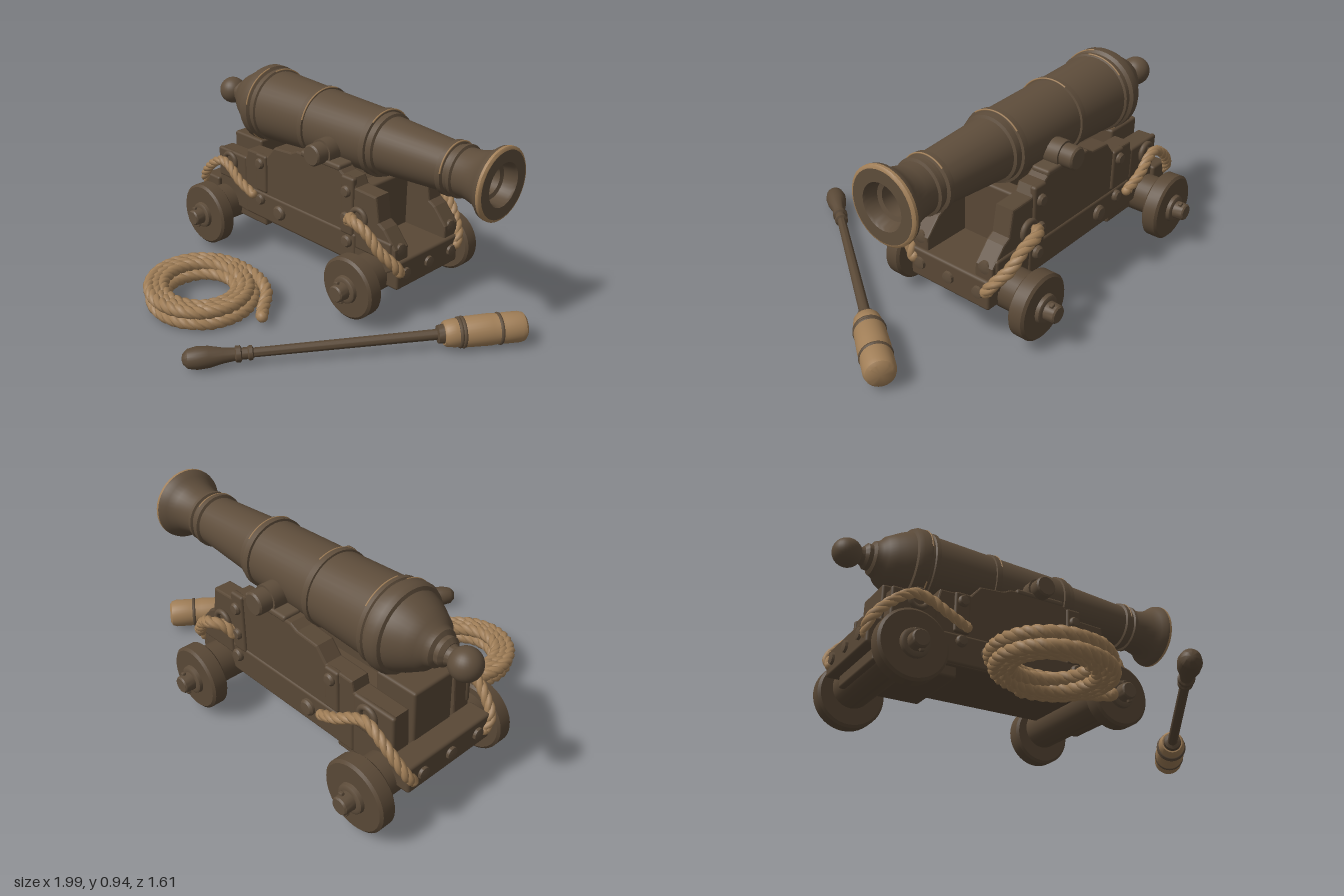
import * as THREE from 'three';
import { toCreasedNormals } from 'three/addons/utils/BufferGeometryUtils.js';
import { RoundedBoxGeometry } from 'three/addons/geometries/RoundedBoxGeometry.js';

export function createModel() {
  const mat = (name, color) => Object.assign(new THREE.MeshStandardMaterial({ color }), { name });
  const iron = mat('dark iron', 0x5e4d3b);
  const wood = mat('dark wood', 0x594836);
  const hemp = mat('hemp', 0xa07e57);
  const model = new THREE.Group();
  model.name = 'cannonSet';

  const add = (parent, name, geo, material, x = 0, y = 0, z = 0) => {
    const m = new THREE.Mesh(geo, material);
    m.name = name;
    m.position.set(x, y, z);
    parent.add(m);
    return m;
  };
  const box = (parent, name, x0, x1, y0, y1, z0, z1, material = wood) =>
    add(parent, name, new RoundedBoxGeometry(x1 - x0, y1 - y0, z1 - z0, 2, 0.012), material,
      (x0 + x1) / 2, (y0 + y1) / 2, (z0 + z1) / 2);
  // profile of [position along axis, radius], turned around the y axis
  const lathe = (pts, seg = 40) => toCreasedNormals(
    new THREE.LatheGeometry(pts.map(([a, r]) => new THREE.Vector2(r, a)), seg), 0.6);
  const turnedX = (pts) => lathe(pts).rotateZ(-Math.PI / 2);
  const turnedZ = (pts, seg) => lathe(pts, seg).rotateX(Math.PI / 2);

  // rope laid from three twisted strands
  const rope = (parent, name, points, r) => {
    const path = new THREE.CatmullRomCurve3(points.map((p) => new THREE.Vector3(...p)));
    path.arcLengthDivisions = 1200;
    const n = Math.ceil(path.getLength() / 0.016);
    const f = path.computeFrenetFrames(n);
    const group = new THREE.Group();
    group.name = name;
    for (let k = 0; k < 3; k++) {
      const strand = [];
      for (let i = 0; i <= n; i++) {
        const a = i * 0.75 + k * Math.PI * 2 / 3;
        strand.push(path.getPointAt(i / n)
          .addScaledVector(f.normals[i], Math.cos(a) * r * 0.4)
          .addScaledVector(f.binormals[i], Math.sin(a) * r * 0.4));
      }
      const curve = new THREE.CatmullRomCurve3(strand);
      curve.arcLengthDivisions = n * 3;
      add(group, 'strand', new THREE.TubeGeometry(curve, Math.ceil(n * 1.5), r * 0.62, 7), hemp);
    }
    for (const t of [0, 1]) add(group, 'ropeEnd', new THREE.SphereGeometry(r * 0.9, 12, 8), hemp).position.copy(path.getPointAt(t));
    parent.add(group);
  };

  // ---- gun and carriage, centred on their own z = 0 ----
  const gun = new THREE.Group();
  gun.name = 'gun';
  gun.position.z = -0.345;
  model.add(gun);

  const axisY = 0.747;
  add(gun, 'barrel', turnedX([
    [-0.86, 0], [-0.86, 0.045], [-0.845, 0.062], [-0.825, 0.062], [-0.815, 0.08], [-0.79, 0.09], [-0.77, 0.115],
    [-0.735, 0.135], [-0.7, 0.155], [-0.66, 0.17], [-0.655, 0.185], [-0.635, 0.195], [-0.595, 0.195],
    [-0.585, 0.18], [-0.575, 0.18], [-0.57, 0.188], [-0.55, 0.188], [-0.545, 0.178],
    [-0.25, 0.166], [-0.248, 0.174], [-0.22, 0.174], [-0.218, 0.164],
    [0.14, 0.152], [0.142, 0.162], [0.172, 0.162], [0.175, 0.15], [0.205, 0.149], [0.21, 0.136],
    [0.55, 0.114], [0.555, 0.126], [0.58, 0.126], [0.585, 0.112], [0.605, 0.111], [0.61, 0.121],
    [0.625, 0.121], [0.63, 0.109], [0.68, 0.112], [0.73, 0.125], [0.765, 0.145], [0.785, 0.163], [0.8, 0.167],
  ]), iron, 0, axisY);
  add(gun, 'muzzleLip', turnedX([[0.8, 0.167], [0.812, 0.167], [0.819, 0.159], [0.82, 0.153]]), hemp, 0, axisY);
  add(gun, 'bore', turnedX([
    [0.82, 0.153], [0.82, 0.1], [0.81, 0.093], [0.76, 0.085], [0.755, 0.065], [0.45, 0.06], [0.45, 0],
  ]), iron, 0, axisY);
  add(gun, 'breechKnob', new THREE.SphereGeometry(0.069, 28, 20), iron, -0.931, 0.74);
  add(gun, 'knobNeck', turnedX([[-0.9, 0.042], [-0.87, 0.04], [-0.85, 0.05]]), iron, 0, 0.744);

  // worn edges on the barrel rings: [x, radius, start angle, length]
  for (const [x, r, start, length] of [[-0.595, 0.193, 0.2, 1.2], [-0.55, 0.186, 1.4, 1], [-0.22, 0.172, 0.3, 1.7],
    [0.172, 0.16, 0.9, 1.5], [0.58, 0.124, 0.1, 2.2], [-0.597, 0.193, -2.2, 1.5]]) {
    const g = new THREE.TorusGeometry(r, 0.004, 6, 24, length).rotateZ(start).rotateY(-Math.PI / 2);
    add(gun, 'wornEdge', g, hemp, x, axisY);
  }

  // trunnions
  add(gun, 'trunnions', turnedZ([[-0.28, 0], [-0.28, 0.045], [-0.272, 0.052], [0.272, 0.052], [0.28, 0.045], [0.28, 0]], 28),
    iron, -0.04, 0.7);

  // carriage floor, transom, quoin and end beams
  box(gun, 'floor', -0.8, 0.36, 0.215, 0.31, -0.2, 0.2);
  box(gun, 'transom', 0.12, 0.2, 0.29, 0.58, -0.14, 0.14);
  box(gun, 'quoin', -0.79, -0.58, 0.3, 0.575, -0.11, 0.11);
  box(gun, 'frontBeam', 0.32, 0.455, 0.17, 0.31, -0.215, 0.215);
  box(gun, 'rearBeam', -0.89, -0.78, 0.22, 0.345, -0.24, 0.24);
  box(gun, 'rearAxleBlock', -0.84, -0.45, 0.165, 0.3, -0.2, 0.2);
  for (const z of [-0.16, 0, 0.16]) {
    add(gun, 'beamBolt', turnedX([[0, 0.028], [0.012, 0.026], [0.018, 0]]), iron, 0.455, 0.245, z);
    add(gun, 'beamBolt', turnedX([[-0.018, 0], [-0.012, 0.026], [0, 0.028]]), iron, -0.89, 0.285, z);
  }

  // stepped cheek outline
  const outline = [
    [-0.79, 0.24], [-0.58, 0.215], [0.36, 0.215], [0.44, 0.27], [0.44, 0.37], [0.37, 0.45], [0.335, 0.47], [0.315, 0.59],
    [0.19, 0.595], [0.17, 0.635], [0.11, 0.64], [0.08, 0.66], [-0.2, 0.66], [-0.24, 0.64], [-0.36, 0.63],
    [-0.41, 0.57], [-0.56, 0.565], [-0.57, 0.52], [-0.78, 0.515],
  ];
  const cheekShape = new THREE.Shape(outline.map(([x, y]) => new THREE.Vector2(x, y)));
  const cheekGeo = new THREE.ExtrudeGeometry(cheekShape,
    { depth: 0.075, bevelThickness: 0.008, bevelSize: 0.008, bevelOffset: -0.008, bevelSegments: 2 });

  for (const s of [1, -1]) {
    const side = s > 0 ? 'left' : 'right';
    const sideBox = (name, x0, x1, y0, y1, z0, z1, m) =>
      box(gun, name, x0, x1, y0, y1, Math.min(s * z0, s * z1), Math.max(s * z0, s * z1), m);
    add(gun, side + 'Cheek', cheekGeo, wood, 0, 0, s > 0 ? 0.138 : -0.213);
    sideBox(side + 'LowerPlank', -0.57, 0.2, 0.22, 0.365, 0.2, 0.228);
    sideBox(side + 'RearStrap', -0.49, -0.41, 0.37, 0.57, 0.2, 0.232);
    sideBox(side + 'FrontStrap', 0.105, 0.185, 0.35, 0.64, 0.2, 0.232);
    sideBox(side + 'RearPlank', -0.79, -0.57, 0.36, 0.52, 0.2, 0.225);
    sideBox(side + 'CheekFoot', 0.2, 0.42, 0.3, 0.4, 0.2, 0.23);

    // cap strap over the trunnion
    sideBox(side + 'CapPlate', -0.17, 0.09, 0.645, 0.675, 0.135, 0.225, iron);
    add(gun, side + 'TrunnionCap', turnedZ([[-0.035, 0.052], [-0.035, 0.062], [0.035, 0.062], [0.035, 0.052]], 28),
      iron, -0.04, 0.7, s * 0.18);

    // bolts on the side and on the cheek front
    for (const [x, y, r] of [[-0.45, 0.525, 0.028], [-0.45, 0.33, 0.028], [-0.31, 0.3, 0.038],
      [0.155, 0.32, 0.03], [0.145, 0.57, 0.028], [0.145, 0.44, 0.026]]) {
      const g = turnedZ([[-0.02, r], [0.01, r], [0.02, r * 0.75], [0.022, 0]], 16);
      if (s < 0) g.rotateY(Math.PI);
      add(gun, side + 'Bolt', g, iron, x, y, s * 0.23);
    }
    add(gun, side + 'FrontBolt', turnedX([[-0.03, 0.03], [0.01, 0.028], [0.018, 0]]), iron, 0.43, 0.36, s * 0.175);

    // wheels with hubs and axle ends
    for (const [name, x, y, r] of [['FrontWheel', 0.3, 0.185, 0.15], ['RearWheel', -0.735, 0.195, 0.16]]) {
      const wheel = new THREE.Group();
      wheel.name = side + name;
      wheel.position.set(x, y, s * 0.345);
      if (s < 0) wheel.rotation.y = Math.PI;
      gun.add(wheel);
      add(wheel, 'disc', turnedZ([[-0.04, 0], [-0.04, r - 0.012], [-0.03, r], [0.03, r], [0.04, r - 0.012], [0.04, 0]]), wood);
      add(wheel, 'hub', turnedZ([[0.035, 0.068], [0.055, 0.064], [0.06, 0.056], [0.06, 0.042], [0.105, 0.04], [0.112, 0.034], [0.112, 0]], 24), iron);
      add(wheel, 'linchpin', new RoundedBoxGeometry(0.022, 0.105, 0.018, 1, 0.005), iron, 0, 0, 0.085).rotation.z = 0.3;
    }

    // rope eyes and lashings
    for (const [x, y] of [[-0.67, 0.475], [0.235, 0.47]]) {
      add(gun, side + 'EyeRing', new THREE.TorusGeometry(0.042, 0.013, 10, 24), iron, x, y, s * 0.245);
    }
    rope(gun, side + 'RearLashing', [[-0.885, 0.27, s * 0.21], [-0.885, 0.32, s * 0.245], [-0.8, 0.42, s * 0.272],
      [-0.7, 0.48, s * 0.275], [-0.63, 0.465, s * 0.28], [-0.55, 0.42, s * 0.29], [-0.45, 0.375, s * 0.285]], 0.025);
    rope(gun, side + 'FrontLashing', [[0.17, 0.43, s * 0.24], [0.2, 0.465, s * 0.26], [0.25, 0.475, s * 0.295],
      [0.32, 0.44, s * 0.285], [0.39, 0.36, s * 0.265], [0.445, 0.3, s * 0.225], [0.455, 0.26, s * 0.2]], 0.028);
  }

  // axles
  add(gun, 'frontAxle', turnedZ([[-0.31, 0], [-0.31, 0.095], [0.31, 0.095], [0.31, 0]], 28), wood, 0.3, 0.21);
  add(gun, 'rearAxle', turnedZ([[-0.31, 0], [-0.31, 0.095], [0.31, 0.095], [0.31, 0]], 28), wood, -0.735, 0.22);

  // ---- coiled rope: lower layer winds inwards, upper layer back out to the loose end ----
  const coil = [];
  const turns = 6, steps = 16;
  for (let i = 0; i <= turns * steps; i++) {
    const t = i / steps, a = -Math.PI / 2 + t * Math.PI * 2;
    const upper = THREE.MathUtils.smoothstep(t, 2.7, 3.3);
    const rad = t < 3 ? 0.252 - 0.03 * t : 0.162 + 0.03 * (t - 3);
    const tilt = -0.012 * Math.cos(a);
    coil.push([-0.3 + rad * Math.cos(a), 0.045 + tilt + upper * 0.052, 0.4 + rad * Math.sin(a)]);
  }
  coil.push([-0.16, 0.09, 0.155], [-0.06, 0.075, 0.2], [0.0, 0.05, 0.275], [0.045, 0.045, 0.32]);
  rope(model, 'ropeCoil', coil, 0.031);

  // ---- swab leaning along the ground ----
  const swab = new THREE.Group();
  swab.name = 'swab';
  const from = new THREE.Vector3(0.1, 0.054, 0.76), to = new THREE.Vector3(0.945, 0.083, -0.43);
  swab.position.copy(from);
  swab.quaternion.setFromUnitVectors(new THREE.Vector3(0, 1, 0), to.clone().sub(from).normalize());
  model.add(swab);
  add(swab, 'handle', lathe([
    [-0.045, 0], [-0.04, 0.022], [-0.02, 0.042], [0.02, 0.05], [0.07, 0.047], [0.13, 0.034], [0.18, 0.028], [0.185, 0.036],
    [0.205, 0.036], [0.21, 0.026], [0.235, 0.026], [0.24, 0.032], [0.255, 0.032], [0.26, 0.021],
    [1.06, 0.024], [1.065, 0.04], [1.1, 0.045], [1.1, 0],
  ], 24), wood);
  add(swab, 'fleeceHead', lathe([
    [1.09, 0], [1.09, 0.05], [1.1, 0.058], [1.14, 0.064], [1.16, 0.06], [1.18, 0.068], [1.3, 0.071], [1.34, 0.066],
    [1.36, 0.069], [1.43, 0.069], [1.45, 0.063], [1.46, 0.05], [1.463, 0],
  ], 32), hemp);
  for (const [y, r] of [[1.16, 0.061], [1.175, 0.063], [1.34, 0.064]]) {
    add(swab, 'binding', new THREE.TorusGeometry(r, 0.009, 8, 32).rotateX(Math.PI / 2), iron, 0, y);
  }
  return model;
}
